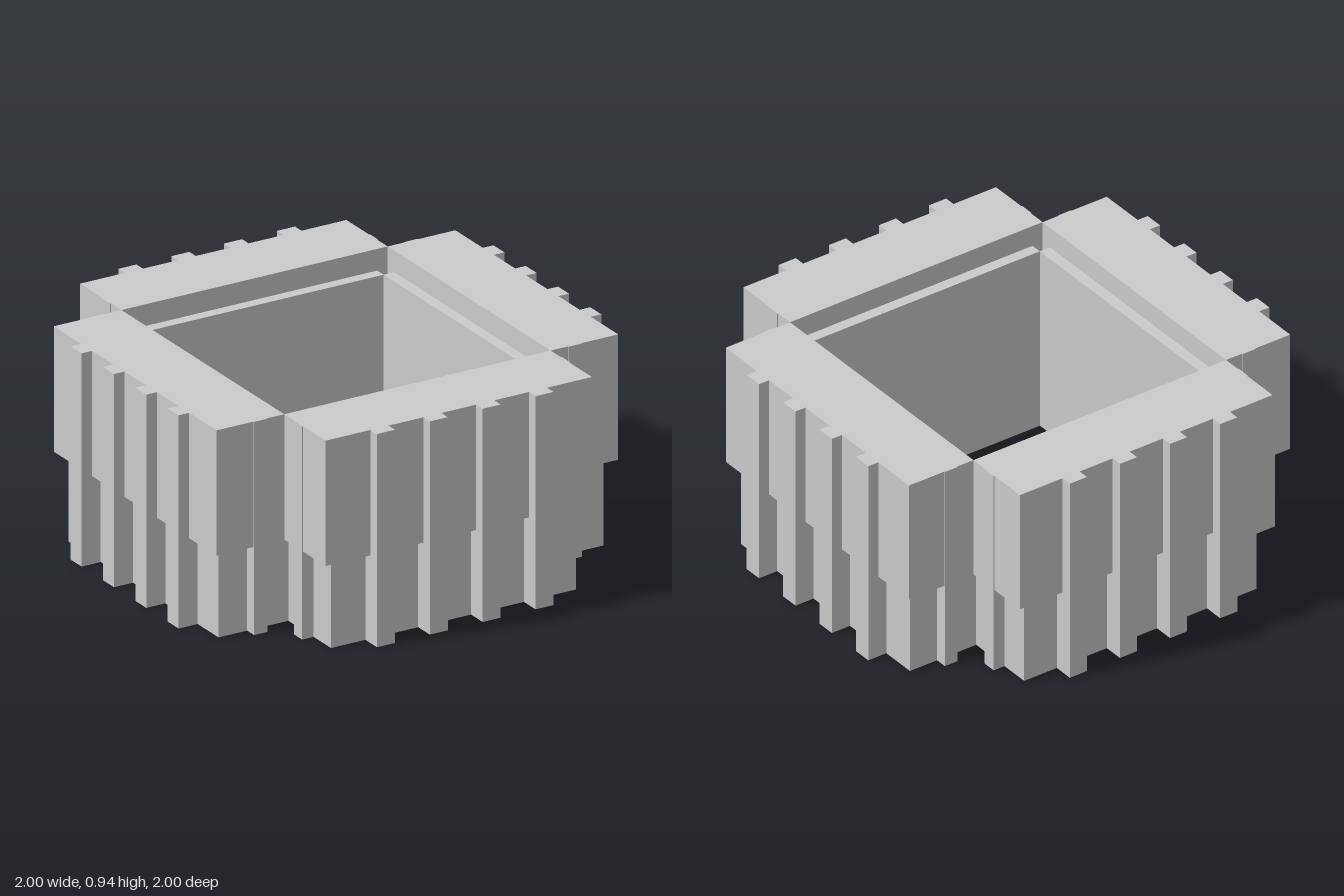
import * as THREE from 'three';

const MID = 0.385, LIP = 0.84, TOP = 0.935;
const RIBS = [0.375, 0.125, -0.125, -0.375];

// Wall outline seen from above: u runs along the wall, v outwards.
function wallOutline(half, inner, outer) {
  const ribHalf = 0.0425, ribOut = 1;
  const endRibOut = 0.634, endRibIn = 0.712, endRibFar = 0.775;
  const pts = [
    [-half, inner], [half, inner],
    // rib on one end
    [half, endRibIn], [endRibOut, endRibIn], [endRibOut, endRibFar], [half, endRibFar],
    [half, outer],
  ];
  // ribs on the outer face
  for (const u of RIBS) {
    pts.push([u + ribHalf, outer], [u + ribHalf, ribOut], [u - ribHalf, ribOut], [u - ribHalf, outer]);
  }
  // rib on the other end
  pts.push([-half, outer], [-half, endRibFar], [-endRibOut, endRibFar],
    [-endRibOut, endRibIn], [-half, endRibIn]);
  return new THREE.Shape(pts.map(([u, v]) => new THREE.Vector2(u, -v)));
}

function layer(name, shape, y0, y1, material) {
  const geometry = new THREE.ExtrudeGeometry(shape, { depth: y1 - y0, bevelEnabled: false });
  geometry.rotateX(-Math.PI / 2);
  geometry.translate(0, y0, 0);
  const mesh = new THREE.Mesh(geometry, material);
  mesh.name = name;
  return mesh;
}

export function createModel() {
  const model = new THREE.Group();
  model.name = 'squareRibbedPlanter';
  const material = new THREE.MeshStandardMaterial({ color: 0xcccccc, flatShading: true });

  ['frontWall', 'leftWall', 'backWall', 'rightWall'].forEach((name, i) => {
    const wall = new THREE.Group();
    wall.name = name;

    // recessed base and overhanging upper block, ribs running through both
    wall.add(layer('lowerWall', wallOutline(0.58, 0.58, 0.91), 0, MID, material));
    wall.add(layer('upperWall', wallOutline(0.63, 0.63, 0.95), MID, TOP, material));

    // inner lining that ends in a ledge below the rim
    const ledge = new THREE.Mesh(new THREE.BoxGeometry(1.16, LIP - MID, 0.05), material);
    ledge.position.set(0, (LIP + MID) / 2, 0.605);
    ledge.name = 'innerLedge';
    wall.add(ledge);

    wall.rotation.y = i * Math.PI / 2;
    model.add(wall);
  });

  return model;
}
